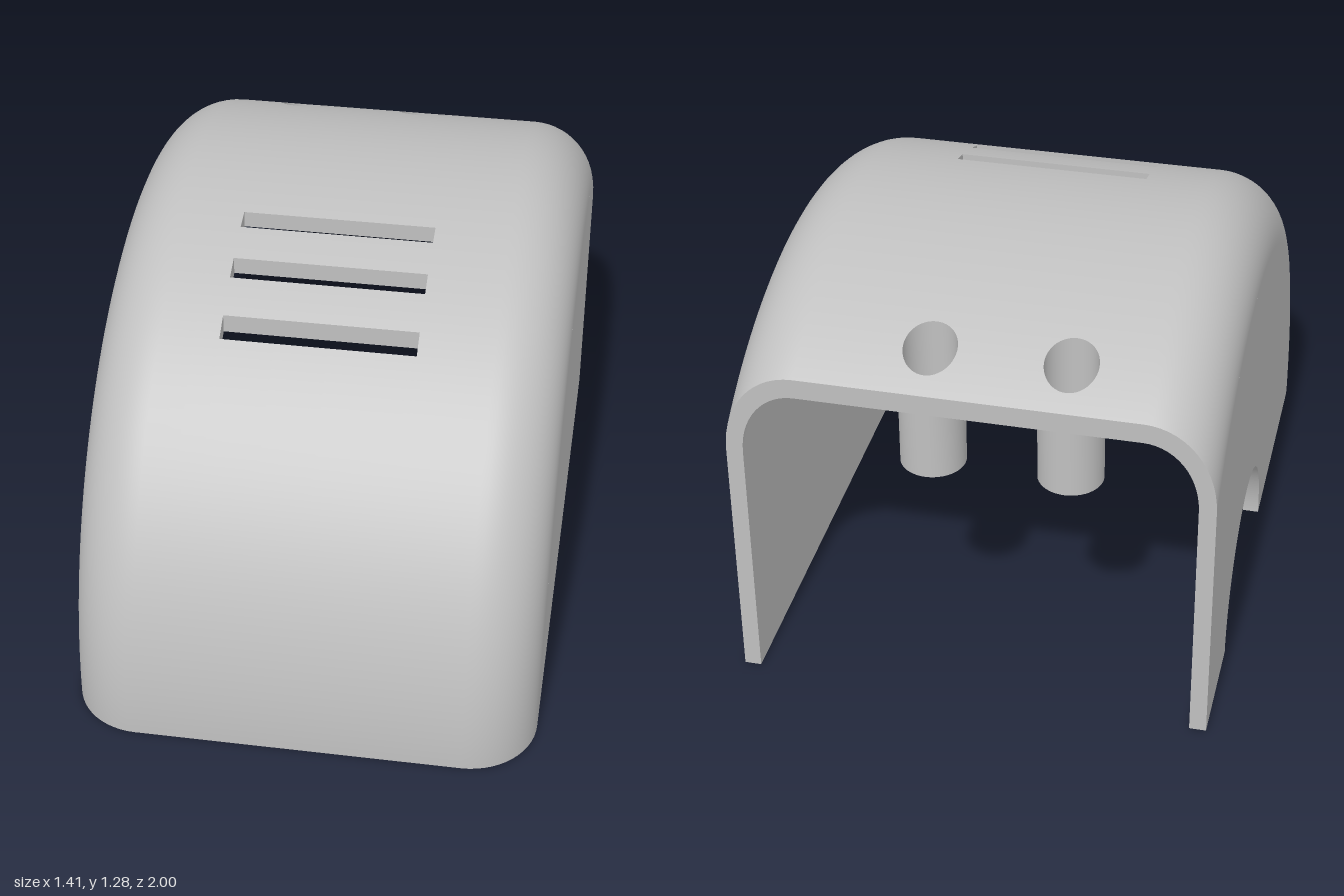
import * as THREE from 'three';

const AXIS = -0.28;            // z of the arc's axis, which lies on the ground
const BACK = -1, REACH = BACK - AXIS;
const HALF = 0.705, THICK = 0.05, FILLET = 0.21;
const R_OUT = 1.28, R_IN = R_OUT - THICK, R_WALL = R_OUT - FILLET;
const SLOTS = { x0: -0.315, x1: 0.27, z: [[0, 0.06], [0.175, 0.24], [0.355, 0.42]] };
const BOSS = { xs: [-0.27, 0.13], z: -0.87, pad: 0.12, bore: 0.077, hole: 0.038, outer: 0.095, floor: 0.81, bottom: 0.76 };

const grey = new THREE.MeshStandardMaterial({ color: 0xc0c0c0, side: THREE.DoubleSide });
grey.name = 'grey plastic';

const heightAt = (R, z) => Math.sqrt(R * R - (z - AXIS) ** 2);
const endAngle = (r) => Math.acos(REACH / r);

// Mesh from a grid of points; optional normals, cell filter and flip
function sheet(name, rows, { normals, keep = () => true, flip = false } = {}) {
  const n = rows[0].length, index = [];
  for (let i = 0; i < rows.length - 1; i++) {
    for (let j = 0; j < n - 1; j++) {
      if (!keep(rows[i][j], rows[i + 1][j + 1])) continue;
      const a = i * n + j, b = a + 1, c = a + n, d = c + 1;
      index.push(...(flip ? [a, c, b, b, c, d] : [a, b, c, b, d, c]));
    }
  }
  const g = new THREE.BufferGeometry();
  g.setAttribute('position', new THREE.Float32BufferAttribute(rows.flat(2), 3));
  g.setIndex(index);
  if (normals) g.setAttribute('normal', new THREE.Float32BufferAttribute(normals.flat(2), 3));
  else g.computeVertexNormals();
  const mesh = new THREE.Mesh(g, grey);
  mesh.name = name;
  return mesh;
}

// Cross-section columns of one skin: x, radius and normal (nx, nr)
function columns(R, fillet) {
  const cx = HALF - FILLET, cols = [], N = 14;
  const corner = (side, k) => {
    const a = (k / N) * Math.PI / 2;
    cols.push({ x: side * (cx + fillet * Math.sin(a)), r: R_WALL + fillet * Math.cos(a), nx: side * Math.sin(a), nr: Math.cos(a) });
  };
  for (let k = N; k >= 0; k--) corner(-1, k);
  const cuts = [SLOTS.x0, SLOTS.x1, ...BOSS.xs.flatMap((x) => [x - BOSS.pad, x + BOSS.pad])];
  cuts.sort((a, b) => a - b).forEach((x) => cols.push({ x, r: R, nx: 0, nr: 1 }));
  for (let k = 0; k <= N; k++) corner(1, k);
  return cols;
}

// Angles of the rows, from the front foot to the back edge
function rowAngles(R) {
  const zs = [0.5, 0.46, 0.42, 0.355, 0.3, 0.24, 0.175, 0.12, 0.06, 0, -0.06, -0.12, -0.18, -0.24, -0.3, -0.36,
    -0.42, -0.48, -0.54, -0.6, -0.65, -0.7, -0.75, -0.78, -0.81, -0.84, -0.87, -0.9, -0.93, -0.96, -0.99, -1];
  const first = Math.acos((zs[0] - AXIS) / R), out = [];
  for (let i = 0; i < 24; i++) out.push(first * i / 24);
  return out.concat(zs.map((z) => Math.acos((z - AXIS) / R)));
}

// Cells that are cut out for slots and boss bores
function isSolid(p, q) {
  const x = (p[0] + q[0]) / 2, z = (p[2] + q[2]) / 2, y = (p[1] + q[1]) / 2;
  if (y < 0.8) return true;
  if (x > SLOTS.x0 && x < SLOTS.x1 && SLOTS.z.some(([a, b]) => z > a && z < b)) return false;
  return !BOSS.xs.some((bx) => Math.abs(x - bx) < BOSS.pad && Math.abs(z - BOSS.z) < BOSS.pad);
}

// One curved skin with its cut-outs
function skin(group, name, R, fillet, flip) {
  const s = flip ? -1 : 1, cols = columns(R, fillet), rows = [], normals = [];
  for (const angle of rowAngles(R)) {
    const t = angle / endAngle(R);
    rows.push(cols.map(({ x, r }) => {
      const a = t * endAngle(r);
      return [x, r * Math.sin(a), AXIS + r * Math.cos(a)];
    }));
    normals.push(cols.map(({ r, nx, nr }) => {
      const a = t * endAngle(r);
      return [s * nx, s * nr * Math.sin(a), s * nr * Math.cos(a)];
    }));
  }
  group.add(sheet(name, rows, { normals, keep: isSolid, flip }));

  // Square patches with a round opening over each boss
  for (const bx of BOSS.xs) {
    const pts = [], nor = [];
    for (let i = 0; i <= 4; i++) {
      const line = [], nl = [];
      for (let j = 0; j <= 48; j++) {
        const a = (j / 48) * Math.PI * 2, c = Math.cos(a), d = -Math.sin(a);
        const edge = BOSS.pad / Math.max(Math.abs(c), Math.abs(d));
        const rad = edge + (BOSS.bore - edge) * i / 4;
        const z = BOSS.z + d * rad, y = heightAt(R, z);
        line.push([bx + c * rad, y, z]);
        nl.push([0, s * y / R, s * (z - AXIS) / R]);
      }
      pts.push(line);
      nor.push(nl);
    }
    group.add(sheet(name + 'BorePatch', pts, { normals: nor, flip }));
  }
  return rows;
}

// Flat side wall, optionally with the half-round cut-out
function sideWall(name, x, cutout) {
  const shape = new THREE.Shape();
  shape.absarc(AXIS, 0, R_WALL, 0, endAngle(R_WALL), false);
  shape.lineTo(BACK, 0);
  if (cutout) shape.absarc(AXIS, 0, 0.36, Math.PI, 0, true);
  shape.closePath();
  const g = new THREE.ExtrudeGeometry(shape, { depth: THICK, bevelEnabled: false, curveSegments: 56 });
  g.rotateY(-Math.PI / 2);
  const mesh = new THREE.Mesh(g, grey);
  mesh.name = name;
  mesh.position.x = x;
  return mesh;
}

// Hollow screw boss: bore, floor, screw hole, bottom ring and outside
function screwBoss(x) {
  const boss = new THREE.Group();
  boss.name = 'screwBoss';
  const ring = (r, yOf) => Array.from({ length: 49 }, (_, j) => {
    const a = (j / 48) * Math.PI * 2, z = BOSS.z - r * Math.sin(a);
    return [x + r * Math.cos(a), yOf(z), z];
  });
  const { bore, hole, outer, floor, bottom } = BOSS;
  const path = [
    ring(bore, (z) => heightAt(R_OUT, z)), ring(bore, () => floor), ring(hole, () => floor),
    ring(hole, () => bottom), ring(outer, () => bottom), ring(outer, (z) => heightAt(R_IN, z) + 0.01),
  ];
  ['bore', 'boreFloor', 'screwHole', 'bossEnd', 'bossOutside'].forEach((n, i) => boss.add(sheet(n, [path[i], path[i + 1]])));
  return boss;
}

export function createModel() {
  const model = new THREE.Group();
  model.name = 'roundedCover';

  const out = skin(model, 'outerSkin', R_OUT, FILLET, false);
  const inn = skin(model, 'innerSkin', R_IN, FILLET - THICK, true);

  // Edges between the two skins
  model.add(sheet('frontBottomRim', [inn[0], out[0]]));
  model.add(sheet('backRim', [out.at(-1), inn.at(-1)]));

  model.add(sideWall('leftWall', HALF, false));
  model.add(sideWall('rightWall', -HALF + THICK, true));

  // Vertical sides of the vent slots
  const { x0, x1 } = SLOTS;
  for (const [z0, z1] of SLOTS.z) {
    const corners = [[x1, z0], [x0, z0], [x0, z1], [x1, z1], [x1, z0]];
    for (let i = 0; i < 4; i++) {
      const pair = [corners[i], corners[i + 1]];
      model.add(sheet('ventSlotSide', [R_OUT, R_IN].map((R) => pair.map(([x, z]) => [x, heightAt(R, z), z]))));
    }
  }

  BOSS.xs.forEach((x) => model.add(screwBoss(x)));
  return model;
}
